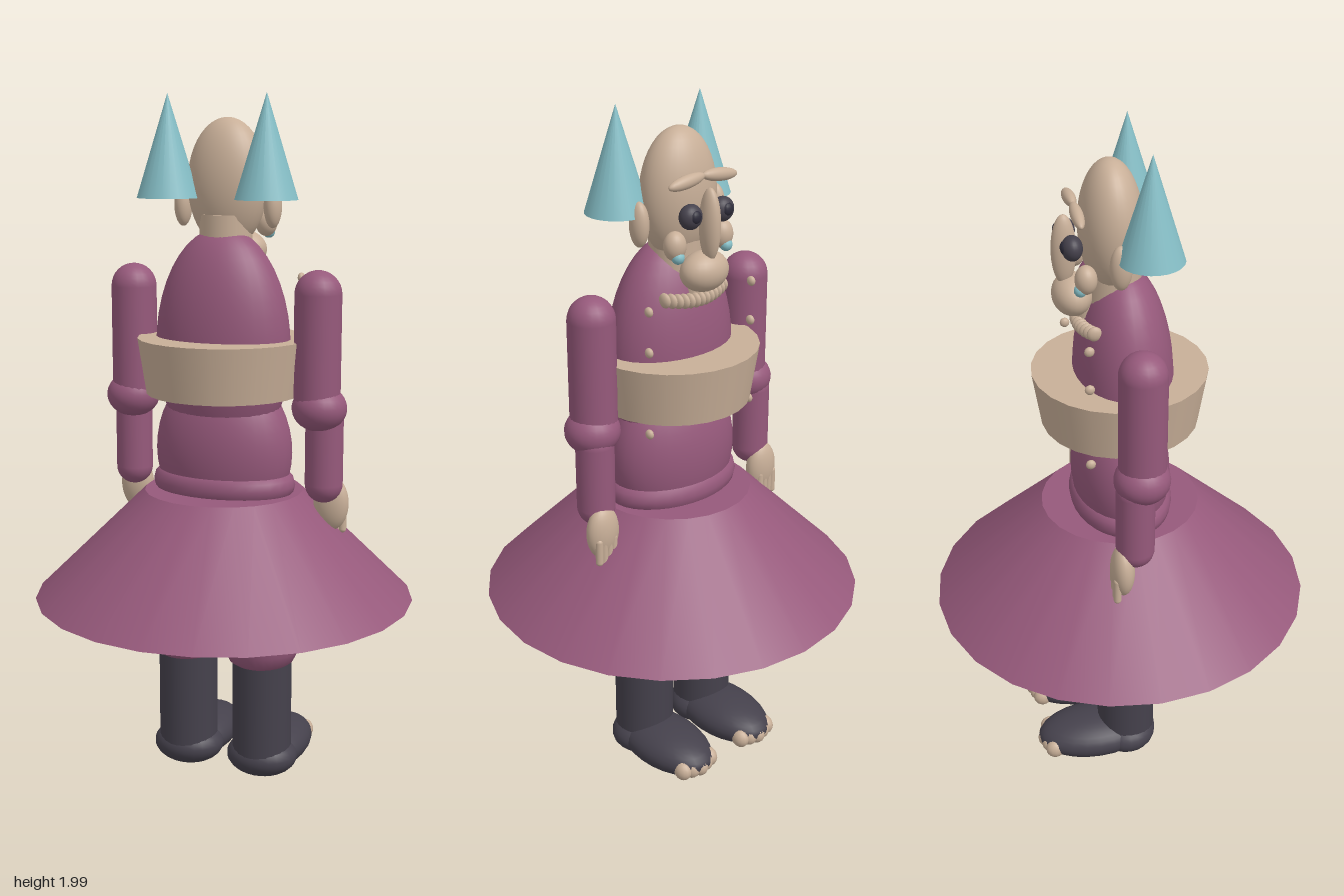
import * as THREE from 'three';

const mat = (name, color) => {
  const m = new THREE.MeshStandardMaterial({ color });
  m.name = name;
  return m;
};

export function createModel() {
  const root = new THREE.Group();
  root.name = 'robedFigure';
  const plum = mat('plumCloth', 0x96597b);
  const skin = mat('skin', 0xc8af98);
  const teal = mat('teal', 0x86bfc7);
  const dark = mat('darkLeather', 0x45414c);
  const black = mat('eyeDark', 0x2e2c3a);

  const add = (name, geo, m, x = 0, y = 0, z = 0) => {
    const mesh = new THREE.Mesh(geo, m);
    mesh.name = name;
    mesh.position.set(x, y, z);
    root.add(mesh);
    return mesh;
  };
  const ball = (name, m, x, y, z, rx, ry = rx, rz = rx, seg = 24) => {
    const mesh = add(name, new THREE.SphereGeometry(1, seg, Math.round(seg * 0.7)), m, x, y, z);
    mesh.scale.set(rx, ry, rz);
    return mesh;
  };
  // cylinder or cone given by bottom and top heights
  const tube = (name, m, x, z, y0, y1, r0, r1, seg = 24) =>
    add(name, new THREE.CylinderGeometry(r1, r0, y1 - y0, seg), m, x, (y0 + y1) / 2, z);
  const capsule = (name, m, x, z, y0, y1, r) =>
    add(name, new THREE.CapsuleGeometry(r, y1 - y0 - 2 * r, 8, 20), m, x, (y0 + y1) / 2, z);

  // Body
  ball('chest', plum, 0, 1.3, 0.008, 0.2, 0.335, 0.138, 32);
  ball('belly', plum, 0, 1.0, 0, 0.205, 0.24, 0.14, 32);
  const waist = add('waistBand', new THREE.TorusGeometry(0.175, 0.04, 12, 32), plum, 0, 0.905, 0);
  waist.rotation.x = Math.PI / 2;
  waist.scale.set(1, 0.68, 1);
  tube('belt', skin, 0, 0, 1.165, 1.325, 0.222, 0.247);
  tube('skirt', plum, 0, 0, 0.565, 0.882, 0.553, 0.23);

  // Head, facing -z
  tube('neck', skin, 0, -0.015, 1.5, 1.67, 0.075, 0.075);
  ball('head', skin, 0, 1.755, -0.025, 0.117, 0.181, 0.086, 32);
  ball('nose', skin, 0, 1.695, -0.15, 0.025, 0.1, 0.034);
  ball('muzzle', skin, 0, 1.565, -0.13, 0.075, 0.056, 0.055);
  tube('collarPost', skin, 0, -0.09, 1.5, 1.58, 0.03, 0.03, 12);

  for (const s of [-1, 1]) {
    // Face
    ball('eye', dark, s * 0.057, 1.725, -0.137, 0.034, 0.034, 0.028);
    ball('pupil', black, s * 0.057, 1.728, -0.157, 0.018, 0.018, 0.012, 14);
    ball('eyebrow', skin, s * 0.058, 1.815, -0.123, 0.063, 0.018, 0.017).rotation.z = -s * 0.12;
    ball('cheek', skin, s * 0.085, 1.645, -0.107, 0.032, 0.04, 0.03);
    ball('cheekDrop', teal, s * 0.087, 1.617, -0.122, 0.018, 0.018, 0.018, 12);
    ball('ear', skin, s * 0.137, 1.695, -0.025, 0.025, 0.062, 0.03);
    tube('horn', teal, s * 0.148, 0.052, 1.715, 2.0, 0.088, 0, 24);

    // Arm and hand
    capsule('upperArm', plum, s * 0.284, 0.002, 1.09, 1.525, 0.066);
    ball('elbow', plum, s * 0.291, 1.14, 0, 0.078, 0.066, 0.078);
    capsule('forearm', plum, s * 0.3, -0.02, 0.865, 1.16, 0.054);
    ball('hand', skin, s * 0.31, 0.855, -0.058, 0.052, 0.08, 0.034);
    for (let i = 0; i < 4; i++)
      capsule('finger', skin, s * (0.288 + i * 0.017), -0.078, 0.755 + Math.abs(i - 2) * 0.01, 0.85, 0.011);

    // Leg, boot and toes
    const legProfile = [[0, 0.355], [0.07, 0.358], [0.095, 0.375], [0.112, 0.41], [0.117, 0.45], [0.117, 0.62]];
    add('thigh', new THREE.LatheGeometry(legProfile.map(p => new THREE.Vector2(...p)), 28), plum, s * 0.12, 0, 0);
    tube('bootShaft', dark, s * 0.12, -0.007, 0.07, 0.38, 0.088, 0.088);
    ball('heel', dark, s * 0.12, 0.07, -0.01, 0.107, 0.062, 0.095);
    ball('foot', dark, s * 0.12, 0.072, -0.105, 0.105, 0.065, 0.18);
    for (let i = -2; i <= 2; i++)
      ball('toe', skin, s * 0.12 + i * 0.026, 0.064, -0.258 + Math.abs(i) * 0.008, 0.025, 0.03, 0.03, 14);

    // Floating studs beside the chest
    for (const y of [1.49, 1.375, 1.255, 1.137])
      ball('stud', skin, s * 0.188, y, -0.12, 0.01, 0.014, 0.014, 12);
  }

  // Beaded collar curving round the throat
  for (let i = -6; i <= 6; i++) {
    const t = i / 6;
    ball('collarBead', skin, t * 0.105, 1.482 + 0.012 * t * t, -0.115 + 0.025 * t * t, 0.011, 0.021, 0.021, 12);
  }
  return root;
}
